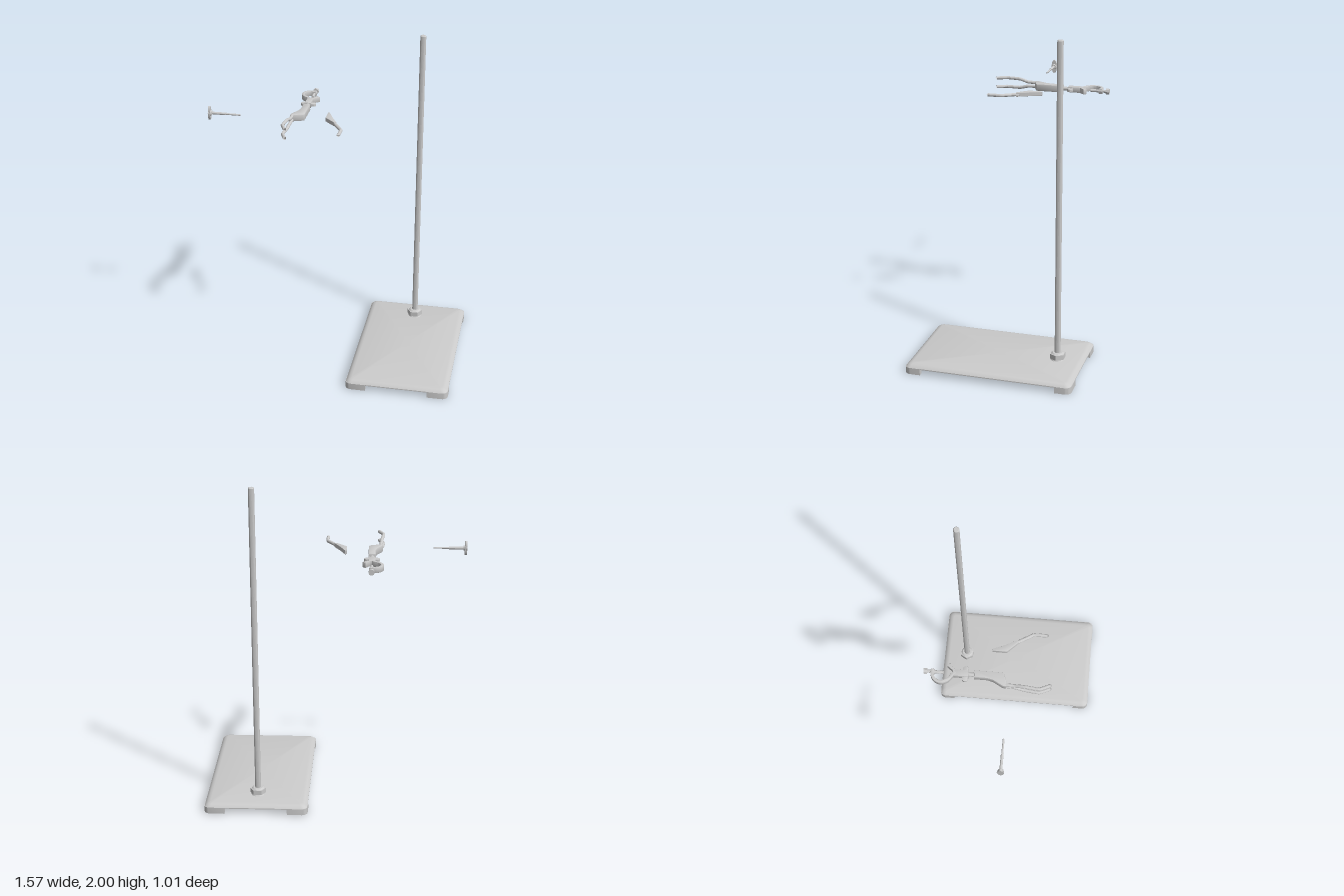
import * as THREE from 'three';
import { toCreasedNormals } from 'three/addons/utils/BufferGeometryUtils.js';

const mat = new THREE.MeshStandardMaterial({ color: 0xcccccc, side: THREE.DoubleSide });
const Y = 1.547; // height of the loose clamp parts

function add(parent, name, geo, x = 0, y = 0, z = 0) {
  const m = new THREE.Mesh(toCreasedNormals(geo, 0.6), mat);
  m.name = name;
  m.position.set(x, y, z);
  parent.add(m);
  return m;
}

// Flat part: outline given as [x, z], thickened around y = 0 with a small bevel
function slab(points, height, bevel = 0.003) {
  const shape = new THREE.Shape(points.map(([x, z]) => new THREE.Vector2(x, -z)));
  const geo = new THREE.ExtrudeGeometry(shape, {
    depth: height - 2 * bevel, bevelEnabled: bevel > 0, bevelSize: bevel,
    bevelThickness: bevel, bevelOffset: -bevel, bevelSegments: 2,
  });
  return geo.translate(0, 0, bevel - height / 2).rotateX(-Math.PI / 2);
}

// Outline of a bent strip of given width along a smooth path of [x, z]
function strip(path, width, n = 24) {
  const curve = new THREE.CatmullRomCurve3(path.map(([x, z]) => new THREE.Vector3(x, 0, z)));
  const a = [], b = [];
  for (let i = 0; i <= n; i++) {
    const p = curve.getPointAt(i / n), t = curve.getTangentAt(i / n);
    a.push([p.x - t.z * width / 2, p.z + t.x * width / 2]);
    b.unshift([p.x + t.z * width / 2, p.z - t.x * width / 2]);
  }
  return a.concat(b);
}

// Rounded finger running through straight segments with a closed end
function finger(parent, name, pts, r) {
  const v = pts.map((p) => new THREE.Vector3(...p));
  const curve = new THREE.CatmullRomCurve3(v, false, 'catmullrom', 0.15);
  add(parent, name, new THREE.TubeGeometry(curve, 36, r, 10));
  const cap = add(parent, name + 'Tip', new THREE.CircleGeometry(r, 10), ...pts.at(-1));
  cap.lookAt(cap.position.clone().add(curve.getTangent(1)));
}

function rod(r1, r2, len, axis, sides = 20) {
  const g = new THREE.CylinderGeometry(r1, r2, len, sides);
  return axis === 'x' ? g.rotateZ(-Math.PI / 2) : axis === 'z' ? g.rotateX(Math.PI / 2) : g;
}

// Rounded rectangle loop, inset from the full plate size
function plateLoop(inset, y) {
  const hx = 0.313 - inset, hz = 0.505 - inset, r = Math.max(0.035 - inset * 0.5, 0.01), out = [];
  [[1, 1], [-1, 1], [-1, -1], [1, -1]].forEach(([sx, sz], k) => {
    for (let i = 0; i <= 6; i++) {
      const a = (k + i / 6) * Math.PI / 2;
      out.push([sx * (hx - r) + r * Math.cos(a), y, sz * (hz - r) + r * Math.sin(a)]);
    }
  });
  return out;
}

function plateGeometry() {
  const loops = [[0, 0.034], [0, 0.04], [0.006, 0.047], [0.018, 0.056], [0.034, 0.06]].map((l) => plateLoop(...l));
  const pos = [], n = loops[0].length;
  for (let j = 0; j < loops.length - 1; j++) {
    for (let i = 0; i < n; i++) {
      const k = (i + 1) % n, [a, b, c, d] = [loops[j][i], loops[j][k], loops[j + 1][k], loops[j + 1][i]];
      pos.push(...a, ...c, ...b, ...a, ...d, ...c);
    }
  }
  const top = loops.at(-1), low = loops[0];
  for (let i = 0; i < n; i++) {
    const k = (i + 1) % n;
    pos.push(0, 0.06, 0, ...top[k], ...top[i], 0, 0.034, 0, ...low[i], ...low[k]);
  }
  return new THREE.BufferGeometry().setAttribute('position', new THREE.Float32BufferAttribute(pos, 3));
}

export function createModel() {
  const model = new THREE.Group();
  model.name = 'laboratoryStand';

  // Base plate with L-shaped corner feet
  const base = new THREE.Group();
  base.name = 'base';
  base.position.x = 0.47;
  model.add(base);
  add(base, 'plate', plateGeometry());
  for (const sx of [-1, 1]) {
    for (const sz of [-1, 1]) {
      const corner = [];
      for (let i = 0; i <= 6; i++) {
        const a = i / 6 * Math.PI / 2;
        corner.push([0.28 + 0.035 * Math.cos(a), 0.472 + 0.035 * Math.sin(a)]);
      }
      const outline = [[0.285, 0.41], [0.315, 0.41], ...corner, [0.19, 0.507], [0.19, 0.477], [0.285, 0.477]];
      add(base, 'foot', slab(outline.map(([x, z]) => [x * sx, z * sz]), 0.04, 0), 0, 0.02, 0);
    }
  }

  // Upright rod and its fixing nut
  const post = new THREE.Group();
  post.name = 'post';
  post.position.set(0.467, 0, -0.35);
  model.add(post);
  add(post, 'rod', new THREE.LatheGeometry(
    [[0, 0.05], [0.018, 0.05], [0.018, 1.995], [0.014, 2], [0, 2]].map((p) => new THREE.Vector2(...p)), 24));
  add(post, 'washer', rod(0.034, 0.042, 0.012, 'y', 28), 0, 0.065, 0);
  add(post, 'nut', rod(0.048, 0.048, 0.03, 'y', 6).rotateY(Math.PI / 6), 0, 0.085, 0);
  add(post, 'nutCollar', rod(0.03, 0.04, 0.008, 'y', 28), 0, 0.103, 0);

  // Clamp: hook, clamping screw, swivel shaft and fixed jaw
  const clamp = new THREE.Group();
  clamp.name = 'clamp';
  clamp.position.y = Y;
  model.add(clamp);
  const X = -0.219;
  add(clamp, 'hook', slab(strip([[-0.207, -0.432], [-0.24, -0.434], [-0.27, -0.415], [-0.28, -0.38],
    [-0.265, -0.345], [-0.235, -0.322], [-0.215, -0.3]], 0.018), 0.034));
  add(clamp, 'jawWing', slab([[-0.225, -0.31], [-0.205, -0.322], [-0.183, -0.352], [-0.165, -0.337],
    [-0.2, -0.305], [-0.205, -0.29]], 0.034));
  add(clamp, 'screwBoss', rod(0.016, 0.016, 0.022, 'z'), X, 0, -0.432);
  add(clamp, 'clampScrew', rod(0.009, 0.009, 0.105, 'z'), X, 0, -0.422);
  add(clamp, 'clampScrewHead', rod(0.018, 0.018, 0.02, 'z', 8), X, 0, -0.475);
  add(clamp, 'swivelBody', slab([[-0.239, -0.318], [-0.2, -0.318], [-0.2, -0.228], [-0.239, -0.228]], 0.034));
  add(clamp, 'swivelShaft', rod(0.012, 0.012, 0.08, 'z'), X, 0, -0.21);
  const wing = [];
  for (let i = 0; i < 24; i++) {
    const a = i / 24 * Math.PI * 2;
    wing.push([X + Math.sign(Math.cos(a)) * 0.03 + 0.017 * Math.cos(a), -0.246 + 0.017 * Math.sin(a)]);
  }
  add(clamp, 'wingNut', slab(wing, 0.018));
  add(clamp, 'arm', slab([[-0.24, -0.195], [-0.197, -0.195], [-0.197, -0.035], [-0.203, -0.026],
    [-0.262, -0.003], [-0.281, -0.008], [-0.279, -0.028], [-0.248, -0.085], [-0.24, -0.12]], 0.044, 0.006));
  for (const s of [-1, 1]) {
    finger(clamp, 'fixedFinger', [[-0.268, s * 0.012, -0.02], [-0.27, s * 0.013, 0.04], [-0.276, s * 0.027, 0.095],
      [-0.284, s * 0.028, 0.18], [-0.257, s * 0.028, 0.242]], 0.01);
  }

  // Loose moving jaw
  const jaw = new THREE.Group();
  jaw.name = 'movingJaw';
  jaw.position.y = Y;
  model.add(jaw);
  add(jaw, 'jawPlate', slab([[-0.067, -0.105], [-0.056, -0.107], [-0.028, -0.04], [0.012, 0.038],
    [-0.002, 0.044], [-0.067, -0.022]], 0.026));
  finger(jaw, 'movingFinger', [[-0.005, 0, 0.025], [0.025, 0, 0.075], [0.055, 0, 0.125], [0.055, 0, 0.202]], 0.01);

  // Loose adjusting screw with a winged head
  const screw = new THREE.Group();
  screw.name = 'adjustingScrew';
  screw.position.set(0, Y, 0.006);
  model.add(screw);
  add(screw, 'screwHub', rod(0.014, 0.021, 0.022, 'x', 12), -0.773, 0, 0);
  add(screw, 'screwWing', rod(0.043, 0.043, 0.013, 'x', 28).scale(1, 1, 0.4), -0.778, 0, 0);
  add(screw, 'screwShank', rod(0.008, 0.008, 0.1, 'x'), -0.725, 0, 0);
  add(screw, 'screwThread', rod(0.0055, 0.0055, 0.1, 'x'), -0.635, 0, 0);
  return model;
}
